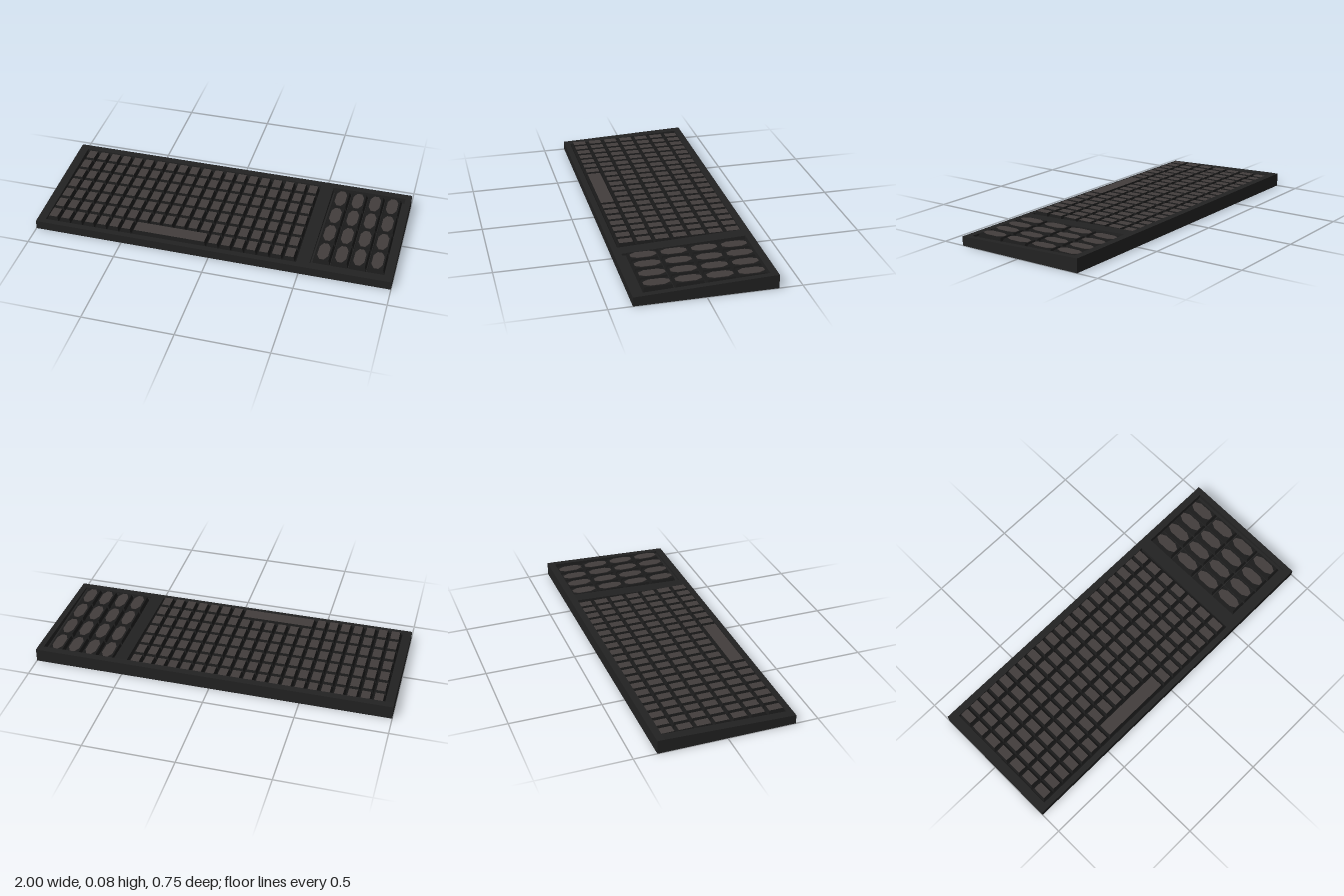
import * as THREE from 'three';

const bodyMat = new THREE.MeshStandardMaterial({ name: 'charcoal case', color: 0x222222 });
const sideMat = new THREE.MeshStandardMaterial({ name: 'dark key side', color: 0x1b1b1b });
const wellMat = new THREE.MeshStandardMaterial({ name: 'black well', color: 0x141414 });
const topMat = new THREE.MeshStandardMaterial({ name: 'warm grey key top', color: 0x433d3c });

const FLOOR = 0.04;      // height of the recessed floors
const KEY_TOP = 0.067;   // all keys end level
const BACK = -0.335;     // where the slope meets the flat back strip

function add(parent, name, geometry, material, x = 0, y = 0, z = 0) {
  const mesh = new THREE.Mesh(geometry, material);
  mesh.name = name;
  mesh.position.set(x, y, z);
  parent.add(mesh);
  return mesh;
}

// Box standing on y = 0 whose top is smaller by `inset` on each side
function keycap(w, d, h, inset) {
  const g = new THREE.BoxGeometry(w, h, d).translate(0, h / 2, 0);
  const p = g.attributes.position;
  for (let i = 0; i < p.count; i++) {
    if (p.getY(i) < h / 2) continue;
    p.setX(i, p.getX(i) - Math.sign(p.getX(i)) * inset);
    p.setZ(i, p.getZ(i) - Math.sign(p.getZ(i)) * inset);
  }
  g.computeVertexNormals();
  return g;
}

// Sloping frame: a comb outline around both wells, lifted to the slope
function frameGeometry() {
  const outline = [
    [-1, 0.375], [1, 0.375], [1, BACK], [0.968, BACK], [0.968, 0.335], [0.553, 0.335],
    [0.553, BACK], [0.48, BACK], [0.48, 0.343], [-0.952, 0.343], [-0.952, BACK], [-1, BACK],
  ];
  const shape = new THREE.Shape(outline.map(([x, z]) => new THREE.Vector2(x, -z)));
  const g = new THREE.ExtrudeGeometry(shape, { depth: 1, bevelEnabled: false });
  g.rotateX(-Math.PI / 2);
  const p = g.attributes.position;
  for (let i = 0; i < p.count; i++) {
    const t = (0.375 - p.getZ(i)) / (0.375 - BACK);
    p.setY(i, p.getY(i) > 0.5 ? 0.05 + 0.025 * t : FLOOR);
  }
  g.computeVertexNormals();
  return g;
}

// Long plate with clipped corners for the keypad keys
function padGeometry(w, d, cutX, cutZ, thickness) {
  const x = w / 2, z = d / 2;
  const pts = [
    [x, z - cutZ], [x - cutX, z], [-x + cutX, z], [-x, z - cutZ],
    [-x, -z + cutZ], [-x + cutX, -z], [x - cutX, -z], [x, -z + cutZ],
  ];
  const shape = new THREE.Shape(pts.map(([a, b]) => new THREE.Vector2(a, b)));
  return new THREE.ExtrudeGeometry(shape, { depth: thickness, bevelEnabled: false }).rotateX(-Math.PI / 2);
}

export function createModel() {
  const model = new THREE.Group();
  model.name = 'keyboard';

  // Case
  const body = new THREE.Group();
  body.name = 'case';
  model.add(body);
  add(body, 'tray', new THREE.BoxGeometry(2, FLOOR, 0.75), bodyMat, 0, FLOOR / 2, 0);
  add(body, 'slopingFrame', frameGeometry(), bodyMat);
  const strip = 0.375 + BACK;
  add(body, 'backStrip', new THREE.BoxGeometry(2, 0.075 - FLOOR, strip), bodyMat,
    0, (0.075 + FLOOR) / 2, -0.375 + strip / 2);
  add(body, 'keyWell', new THREE.BoxGeometry(1.432, 0.002, 0.678), wellMat, -0.236, FLOOR + 0.001, 0.004);

  // Main keys: 7 rows of 20, with a six-column space bar in the front row
  const keys = new THREE.Group();
  keys.name = 'mainKeys';
  model.add(keys);
  const pitchX = 0.0712, pitchZ = 0.0983;
  const colX = (c) => -0.914 + c * pitchX;
  const rowZ = (r) => -0.3 + r * pitchZ;
  const h = KEY_TOP - FLOOR;
  const keyMats = [sideMat, sideMat, topMat, sideMat, sideMat, sideMat];
  const keyGeo = keycap(0.067, 0.094, h, 0.0095);
  for (let r = 0; r < 7; r++) {
    for (let c = 0; c < 20; c++) {
      if (r === 6 && c >= 7 && c <= 12) continue;
      add(keys, 'key', keyGeo, keyMats, colX(c), FLOOR, rowZ(r));
    }
  }
  add(keys, 'spaceBar', keycap(0.067 + 5 * pitchX, 0.094, h, 0.0095), keyMats, colX(9.5), FLOOR, rowZ(6));

  // Keypad: 4 by 4 larger keys with a clipped oval pad on each
  const keypad = new THREE.Group();
  keypad.name = 'keypad';
  model.add(keypad);
  const padKeyGeo = keycap(0.094, 0.158, h - 0.002, 0.008);
  const padGeo = padGeometry(0.06, 0.136, 0.017, 0.032, 0.002);
  for (let r = 0; r < 4; r++) {
    for (let c = 0; c < 4; c++) {
      const x = 0.61 + c * 0.098, z = -0.256 + r * 0.1635;
      add(keypad, 'keypadKey', padKeyGeo, sideMat, x, FLOOR, z);
      add(keypad, 'keypadPad', padGeo, topMat, x, KEY_TOP - 0.002, z);
    }
  }
  return model;
}
